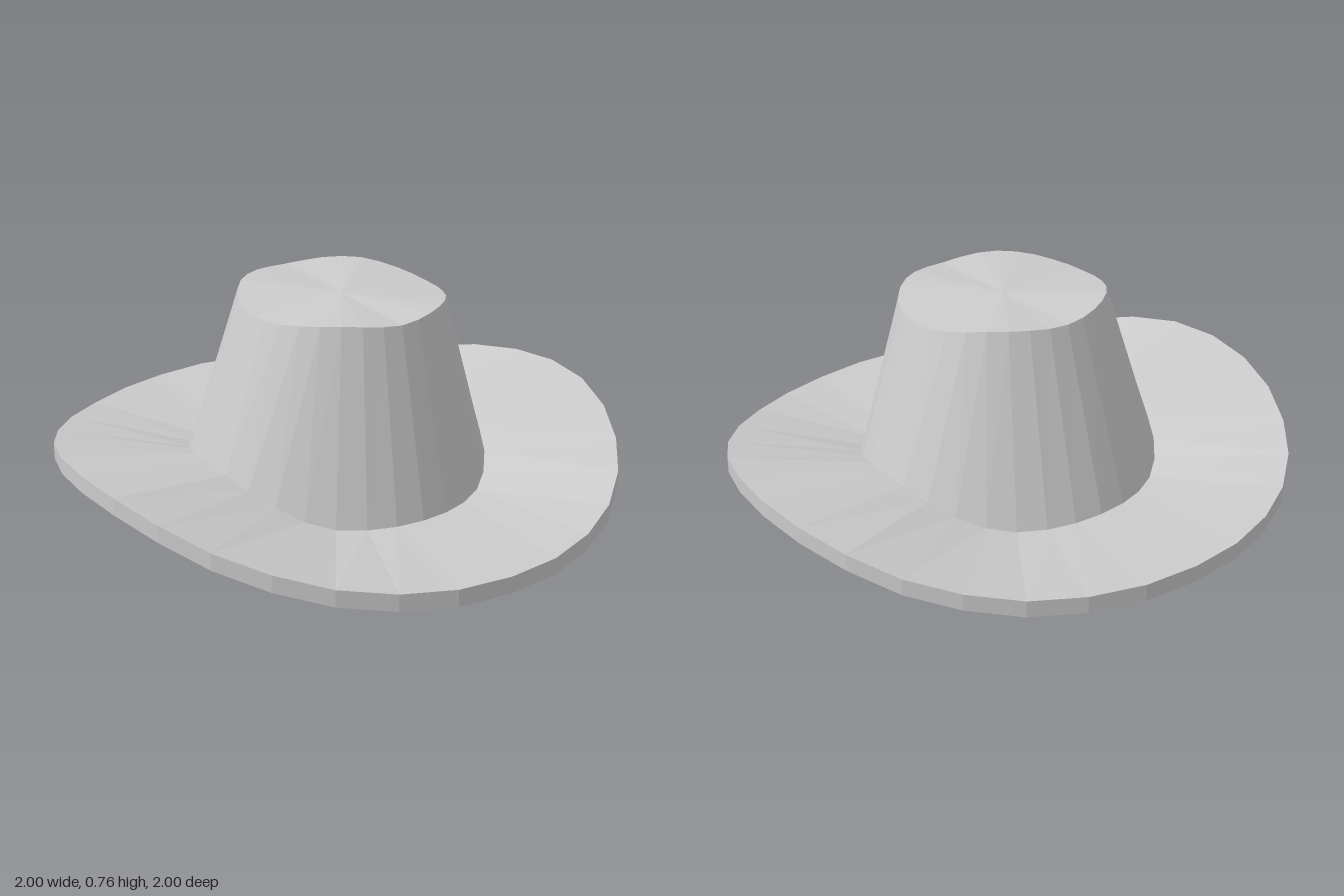
import * as THREE from 'three';

const SIDES = 32;

// Heights every half step round the hat, from the front (first) to the back (last); mirrored left and right.
const BRIM_EDGE = [0.06, 0.062, 0.075, 0.1, 0.14, 0.185, 0.235, 0.27, 0.28, 0.27, 0.245, 0.21, 0.185, 0.165, 0.16, 0.158, 0.16];
const BRIM_HOLE = [0.012, 0.012, 0.013, 0.018, 0.042, 0.08, 0.117, 0.149, 0.16, 0.153, 0.13, 0.095, 0.069, 0.055, 0.055, 0.058, 0.06];
const CROWN_RIM = [0.72, 0.725, 0.732, 0.735, 0.733, 0.728, 0.722, 0.72, 0.72, 0.728, 0.738, 0.75, 0.76, 0.762, 0.76, 0.755, 0.752];

// A ring of points of given radius, following a height table
function ring(radius, heights, lift = 0, z = 0) {
  return Array.from({ length: SIDES }, (_, i) => {
    const a = (i / SIDES) * Math.PI * 2;
    const y = heights[Math.min(i, SIDES - i)] + lift;
    return [radius * Math.sin(a), y, z + radius * Math.cos(a)];
  });
}

// Skin joining successive rings
function loft(rings) {
  const position = rings.flat(2);
  const index = [];
  for (let r = 0; r < rings.length - 1; r++) {
    for (let i = 0; i < SIDES; i++) {
      const j = (i + 1) % SIDES;
      const a = r * SIDES + i, b = r * SIDES + j;
      const c = b + SIDES, d = a + SIDES;
      index.push(a, b, c, a, c, d);
    }
  }
  const geometry = new THREE.BufferGeometry();
  geometry.setAttribute('position', new THREE.Float32BufferAttribute(position, 3));
  geometry.setIndex(index);
  geometry.computeVertexNormals();
  return geometry;
}

export function createModel() {
  const hat = new THREE.Group();
  hat.name = 'hat';
  const felt = new THREE.MeshStandardMaterial({ color: 0xcccccc, flatShading: true, side: THREE.DoubleSide });

  const add = (name, rings) => {
    const mesh = new THREE.Mesh(loft(rings), felt);
    mesh.name = name;
    hat.add(mesh);
  };

  // Curled brim: underside, outer edge, upper side and inner lip
  const holeBottom = ring(0.53, BRIM_HOLE);
  const holeTop = ring(0.53, BRIM_HOLE, 0.055);
  add('brim', [holeBottom, ring(1, BRIM_EDGE, -0.06), ring(1, BRIM_EDGE), holeTop, holeBottom]);

  // Hollow tapered crown
  const rim = ring(0.36, CROWN_RIM, 0, 0.03);
  add('crown', [holeTop, rim]);

  // Gently dished top
  const centre = new Array(SIDES).fill([0, 0.737, 0.03]);
  add('crownTop', [rim, centre]);

  return hat;
}
